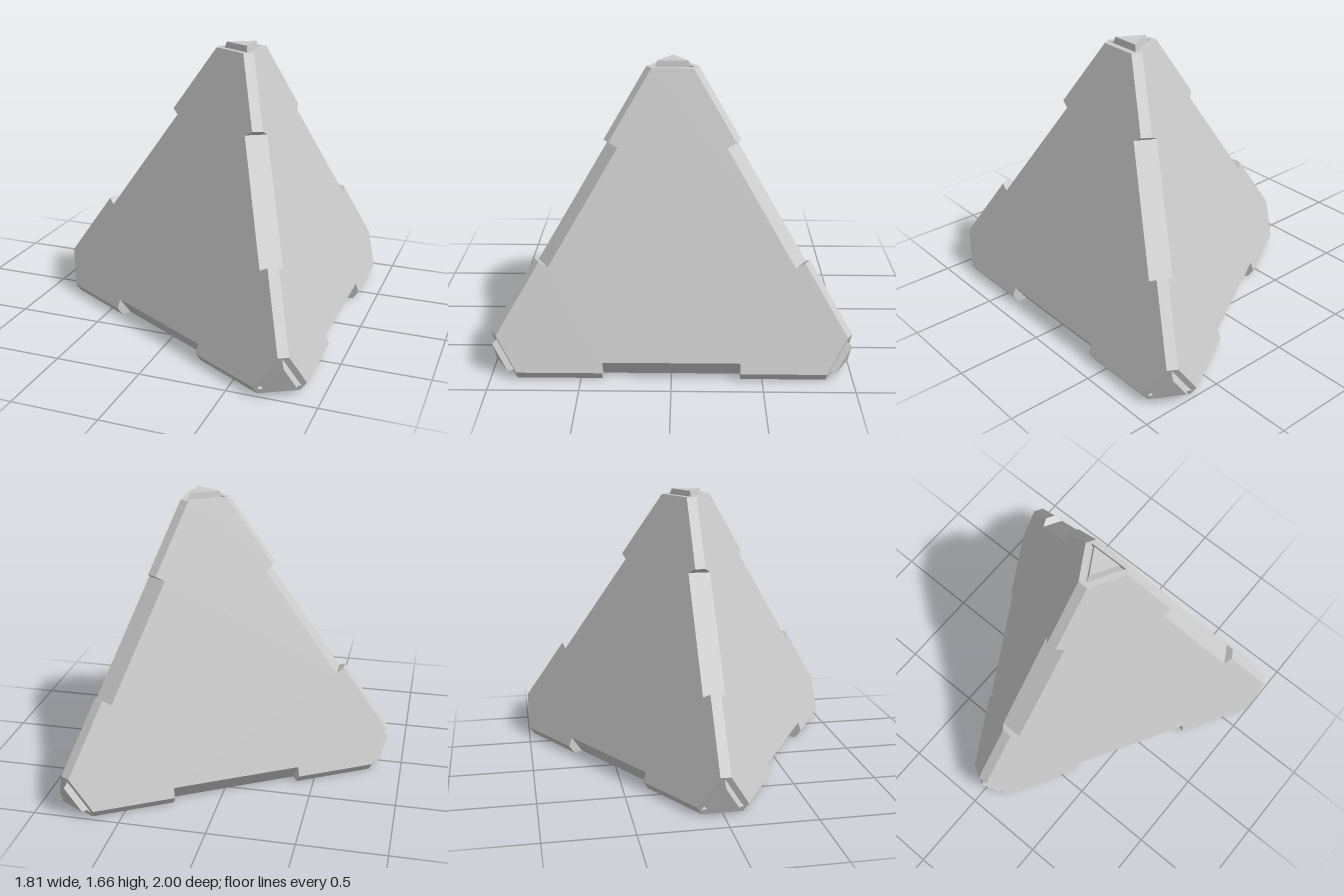
import * as THREE from 'three';

const EDGE = 2.352;                      // edge of the sharp tetrahedron
const H = EDGE * Math.sqrt(2 / 3);
const IN = EDGE / (2 * Math.sqrt(3));    // inradius of the base
const CX = 0.239;
const CUT = 0.29;                        // depth cut from each tip
const BEVEL = 0.053, RECESS = 0.111;     // bevel widths measured along a face
const HALF = 0.38;                       // half length of each edge recess

const C = new THREE.Vector3(CX, H / 4, 0);
const V = [
  new THREE.Vector3(CX, H, 0),
  new THREE.Vector3(CX - 2 * IN, 0, 0),
  new THREE.Vector3(CX + IN, 0, EDGE / 2),
  new THREE.Vector3(CX + IN, 0, -EDGE / 2),
];
const dirFrom = (a, b) => b.clone().sub(a).normalize();

// Point on face i-j-k: t along edge i-j from its middle, d inwards from the edge
function onFace(i, j, k, t, d) {
  const mid = V[i].clone().add(V[j]).multiplyScalar(0.5);
  return mid.clone().addScaledVector(dirFrom(V[i], V[j]), t).addScaledVector(dirFrom(mid, V[k]), d);
}
const END = EDGE / 2 - CUT / Math.sqrt(2 / 3) + BEVEL / Math.sqrt(3);

// Stepped outline of one edge: plain bevel, recess, plain bevel
const STEPS = [
  [-END, BEVEL], [-HALF, BEVEL], [-HALF, RECESS],
  [HALF, RECESS], [HALF, BEVEL], [END, BEVEL],
];

// Flat polygon facing n, with an optional hole; appends triangles to out
function poly(out, pts, n, hole = []) {
  const u = dirFrom(pts[0], pts[1]);
  u.addScaledVector(n, -u.dot(n)).normalize();
  const w = n.clone().cross(u);
  const flat = (p) => new THREE.Vector2(p.dot(u), p.dot(w));
  const all = [...pts, ...hole];
  const tris = THREE.ShapeUtils.triangulateShape(pts.map(flat), hole.length ? [hole.map(flat)] : []);
  for (const tri of tris) {
    let [a, b, c] = tri.map((q) => all[q]);
    const facing = b.clone().sub(a).cross(c.clone().sub(a)).dot(n);
    if (facing < 0) [b, c] = [c, b];
    for (const p of [a, b, c]) out.push(p.x, p.y, p.z);
  }
}

// Normal of a quad, turned to the side of the hint direction
function quad(out, pts, hint) {
  const n = pts[2].clone().sub(pts[0]).cross(pts[3].clone().sub(pts[1])).normalize();
  if (n.dot(hint) < 0) n.negate();
  poly(out, pts, n);
}

function makeMesh(out, name, material) {
  const g = new THREE.BufferGeometry();
  g.setAttribute('position', new THREE.Float32BufferAttribute(out, 3));
  g.computeVertexNormals();
  const mesh = new THREE.Mesh(g, material);
  mesh.name = name;
  return mesh;
}

export function createModel() {
  const group = new THREE.Group();
  group.name = 'bevelledTetrahedron';
  const material = new THREE.MeshStandardMaterial({ color: 0xcccccc, flatShading: true });

  // Four large faces with notched edges
  for (let m = 0; m < 4; m++) {
    const [i, j, k] = [0, 1, 2, 3].filter((q) => q !== m);
    const pts = [];
    for (const [a, b, c] of [[i, j, k], [j, k, i], [k, i, j]]) {
      for (const [t, d] of STEPS) pts.push(onFace(a, b, c, t, d));
    }
    const out = [];
    poly(out, pts, dirFrom(V[m], C));
    group.add(makeMesh(out, 'facePanel', material));
  }

  // Six bevelled edges with a recessed middle
  for (let i = 0; i < 4; i++) {
    for (let j = i + 1; j < 4; j++) {
      const [k, l] = [0, 1, 2, 3].filter((q) => q !== i && q !== j);
      const along = dirFrom(V[i], V[j]);
      const outward = dirFrom(C, V[i].clone().add(V[j]).multiplyScalar(0.5));
      const hints = [outward, along, outward, along.clone().negate(), outward];
      const out = [];
      hints.forEach((hint, s) => {
        const [p, q] = [STEPS[s], STEPS[s + 1]];
        quad(out, [onFace(i, j, k, ...p), onFace(i, j, k, ...q),
          onFace(i, j, l, ...q), onFace(i, j, l, ...p)], hint);
      });
      group.add(makeMesh(out, 'edgeBevel', material));
    }
  }

  // Four cut tips, each with a triangular groove around a raised stud
  for (let i = 0; i < 4; i++) {
    const n = dirFrom(C, V[i]);
    const centre = C.clone().addScaledVector(n, 0.75 * H - CUT);
    const others = [0, 1, 2, 3].filter((q) => q !== i);
    const spokes = others.map((j) => {
      const d = dirFrom(V[i], V[j]);
      return d.addScaledVector(n, -d.dot(n)).normalize();
    });
    const triangle = (r, h) =>
      spokes.map((s) => centre.clone().addScaledVector(s, r).addScaledVector(n, h));
    const rim = [];
    others.forEach((j, q) => {
      const next = others[(q + 1) % 3], prev = others[(q + 2) % 3];
      rim.push(onFace(i, j, prev, -END, BEVEL), onFace(i, j, next, -END, BEVEL));
    });
    const mouth = triangle(0.138, 0), floorOuter = triangle(0.138, -0.03);
    const studBase = triangle(0.123, -0.03), studTop = triangle(0.1, 0.032);

    const cap = [];
    poly(cap, rim, n, mouth);
    poly(cap, floorOuter, n, studBase);
    const stud = [];
    poly(stud, studTop, n);
    for (let q = 0; q < 3; q++) {
      const r = (q + 1) % 3;
      const side = spokes[q].clone().add(spokes[r]);
      quad(cap, [mouth[q], mouth[r], floorOuter[r], floorOuter[q]], side.clone().negate());
      quad(stud, [studBase[q], studBase[r], studTop[r], studTop[q]], side);
    }
    group.add(makeMesh(cap, 'tipCap', material), makeMesh(stud, 'tipStud', material));
  }
  return group;
}
